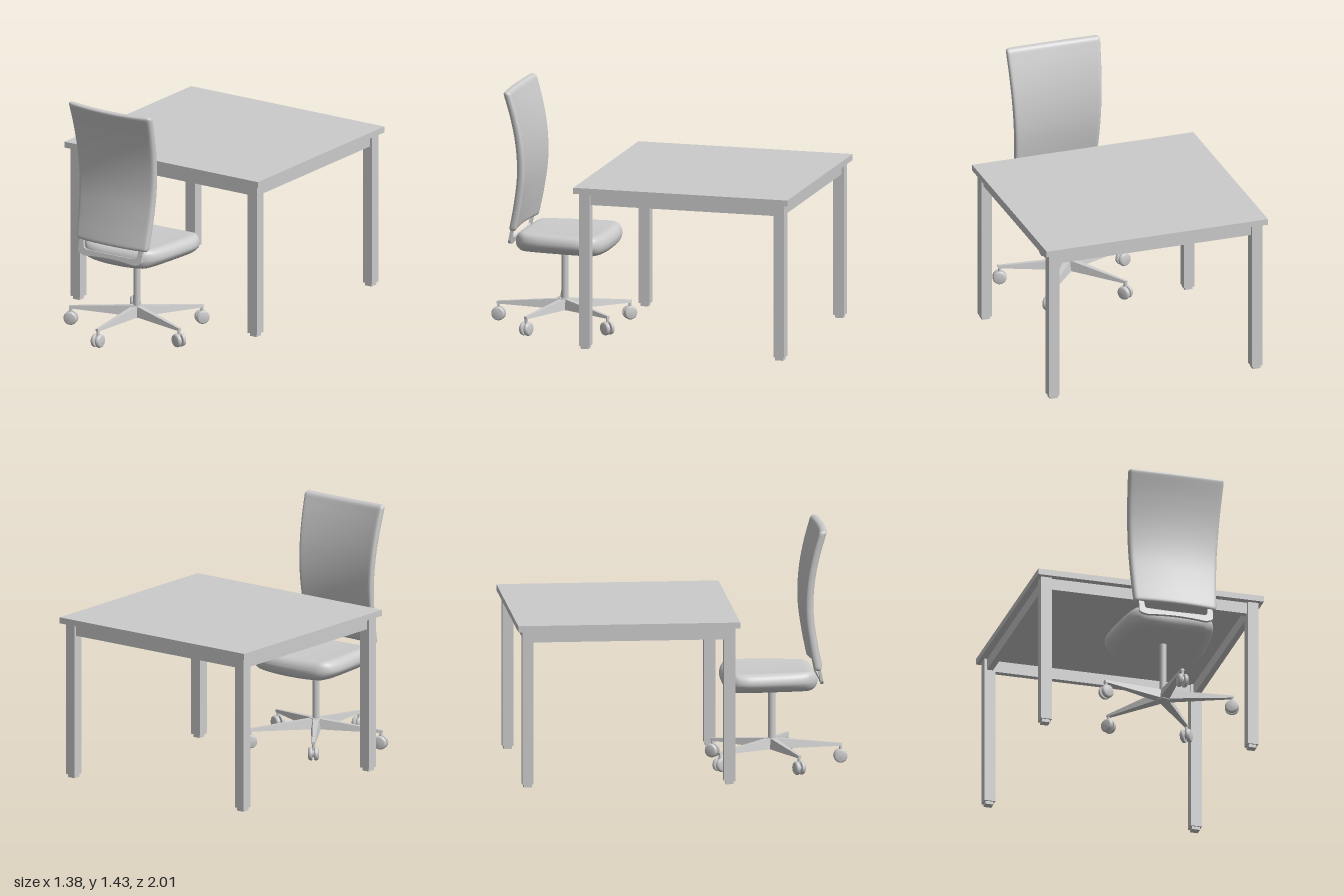
import * as THREE from 'three';
import { mergeVertices } from 'three/addons/utils/BufferGeometryUtils.js';

const grey = new THREE.MeshStandardMaterial({ color: 0xcccccc });

function add(parent, name, geometry, x = 0, y = 0, z = 0) {
  const mesh = new THREE.Mesh(geometry, grey);
  mesh.name = name;
  mesh.position.set(x, y, z);
  parent.add(mesh);
  return mesh;
}

// Move every vertex of a geometry by a rule
function reshape(geometry, rule) {
  const pos = geometry.attributes.position;
  const p = new THREE.Vector3();
  for (let i = 0; i < pos.count; i++) {
    rule(p.fromBufferAttribute(pos, i));
    pos.setXYZ(i, p.x, p.y, p.z);
  }
  geometry.computeVertexNormals();
  return geometry;
}

// Smooth rounded block, finely divided near its edges, then bent by a rule
function cushion(w, h, d, r, segments, rule) {
  const half = new THREE.Vector3(w / 2, h / 2, d / 2);
  const inner = half.clone().subScalar(r);
  const low = inner.clone().negate();
  const core = new THREE.Vector3();
  let geometry = new THREE.BoxGeometry(2, 2, 2, ...segments);
  geometry.deleteAttribute('uv');
  geometry.deleteAttribute('normal');
  geometry = mergeVertices(geometry);
  return reshape(geometry, p => {
    for (const a of ['x', 'y', 'z']) p[a] = Math.sin(p[a] * Math.PI / 2) * half[a];
    core.copy(p).clamp(low, inner);
    p.sub(core).setLength(r).add(core);
    rule(p);
  });
}

function createTable() {
  const table = new THREE.Group();
  table.name = 'table';
  add(table, 'tableTop', new THREE.BoxGeometry(1.38, 0.036, 1.31), 0, 0.953, -0.345);
  const legX = 0.632, legZ = 0.595, midZ = -0.345;
  for (const sx of [-1, 1]) {
    for (const sz of [-1, 1]) {
      add(table, 'tableLeg', new THREE.BoxGeometry(0.066, 0.917, 0.066), sx * legX, 0.4775, midZ + sz * legZ);
      add(table, 'legFoot', new THREE.BoxGeometry(0.048, 0.02, 0.048), sx * legX, 0.01, midZ + sz * legZ);
    }
    add(table, 'sideRail', new THREE.BoxGeometry(0.036, 0.07, 1.124), sx * legX, 0.9, midZ);
  }
  for (const sz of [-1, 1])
    add(table, 'endRail', new THREE.BoxGeometry(1.198, 0.07, 0.036), 0, 0.9, midZ + sz * legZ);
  return table;
}

// One spoke of the base along +z with its twin-wheel caster
function createSpoke() {
  const spoke = new THREE.Group();
  spoke.name = 'baseSpoke';
  const arm = reshape(new THREE.BoxGeometry(1, 1, 1).toNonIndexed(), p => {
    const t = p.z + 0.5, top = p.y > 0;
    p.x *= THREE.MathUtils.lerp(top ? 0.036 : 0.06, top ? 0.016 : 0.022, t);
    p.y = top ? THREE.MathUtils.lerp(0.154, 0.115, t) : THREE.MathUtils.lerp(0.092, 0.1, t);
    p.z = 0.015 + t * 0.4;
  });
  add(spoke, 'spokeArm', arm);
  const z = 0.405;
  add(spoke, 'casterStem', new THREE.CylinderGeometry(0.009, 0.009, 0.06, 12), 0, 0.08, z);
  add(spoke, 'casterAxle', new THREE.CylinderGeometry(0.022, 0.022, 0.03, 16), 0, 0.042, z).rotation.z = Math.PI / 2;
  const profile = [[0, 0], [0.036, 0], [0.04, 0.004], [0.041, 0.011], [0.038, 0.02], [0.03, 0.026], [0, 0.027]]
    .map(p => new THREE.Vector2(...p));
  for (const s of [-1, 1])
    add(spoke, 'casterWheel', new THREE.LatheGeometry(profile, 24), s * 0.005, 0.041, z).rotation.z = -s * Math.PI / 2;
  return spoke;
}

// U-shaped bracket joining the seat to the backrest
function bracketGeometry() {
  const s = new THREE.Shape();
  s.moveTo(-0.225, 0.09);
  s.lineTo(-0.225, 0.03);
  s.quadraticCurveTo(-0.225, 0.004, -0.17, 0);
  s.quadraticCurveTo(0, 0.022, 0.17, 0);
  s.quadraticCurveTo(0.225, 0.004, 0.225, 0.03);
  s.lineTo(0.225, 0.09);
  s.lineTo(0.195, 0.09);
  s.lineTo(0.19, 0.055);
  s.quadraticCurveTo(0.187, 0.04, 0.15, 0.036);
  s.lineTo(-0.15, 0.036);
  s.quadraticCurveTo(-0.187, 0.04, -0.19, 0.055);
  s.lineTo(-0.195, 0.09);
  return new THREE.ExtrudeGeometry(s, { depth: 0.016, bevelEnabled: false, curveSegments: 10 });
}

function createChair() {
  const chair = new THREE.Group();
  chair.name = 'chair';

  // Seat: narrower to the rear, rounded corners, dished top, convex underside
  const seat = cushion(0.615, 0.132, 0.56, 0.06, [32, 16, 32], p => {
    const u = p.x / 0.3075, v = p.z / 0.28;
    p.x *= Math.sqrt(1 - 0.22 * v ** 4) * (v > -0.6 ? 1 - 0.1 * (v + 0.6) : 1);
    p.z *= Math.sqrt(1 - 0.2 * u ** 4);
    if (p.y > 0) p.y -= 0.01 * (1 - u * u);
    else {
      const k = -p.y / 0.066;
      p.x *= 1 - 0.07 * k;
      p.y += 0.016 * u * u * k;
    }
  });
  add(chair, 'seat', seat, 0, 0.519, 0.54);

  // Backrest: tapers downward, arched in profile and wrapped slightly around the sitter
  const spine = new THREE.CatmullRomCurve3([[0.59, 0.83], [0.75, 0.797], [0.92, 0.776], [1.1, 0.781], [1.28, 0.81], [1.43, 0.856]]
    .map(([y, z]) => new THREE.Vector3(0, y, z)));
  const back = cushion(0.58, 0.845, 0.046, 0.022, [36, 44, 8], p => {
    const t = THREE.MathUtils.clamp((p.y + 0.4225) / 0.845, 0, 1);
    const u = p.x / 0.29;
    p.x *= THREE.MathUtils.lerp(0.87, 1.01, t);
    p.z += spine.getPoint(t).z - 0.02 * u * u;
    p.y += 1.0115 - 0.008 * (1 - u * u) * t ** 8;
  });
  add(chair, 'backrest', back);
  add(chair, 'backBracket', bracketGeometry(), 0, 0.5, 0.832).rotation.x = -0.2;

  // Column and five-spoke base
  add(chair, 'column', new THREE.CylinderGeometry(0.021, 0.021, 0.33, 24), 0, 0.31, 0.56);
  add(chair, 'baseHub', new THREE.CylinderGeometry(0.034, 0.042, 0.066, 24), 0, 0.122, 0.56);
  for (let i = 0; i < 5; i++) {
    const spoke = createSpoke();
    spoke.position.z = 0.56;
    spoke.rotation.y = i * Math.PI * 2 / 5;
    chair.add(spoke);
  }
  return chair;
}

export function createModel() {
  const model = new THREE.Group();
  model.name = 'deskAndChair';
  model.add(createTable(), createChair());
  return model;
}
